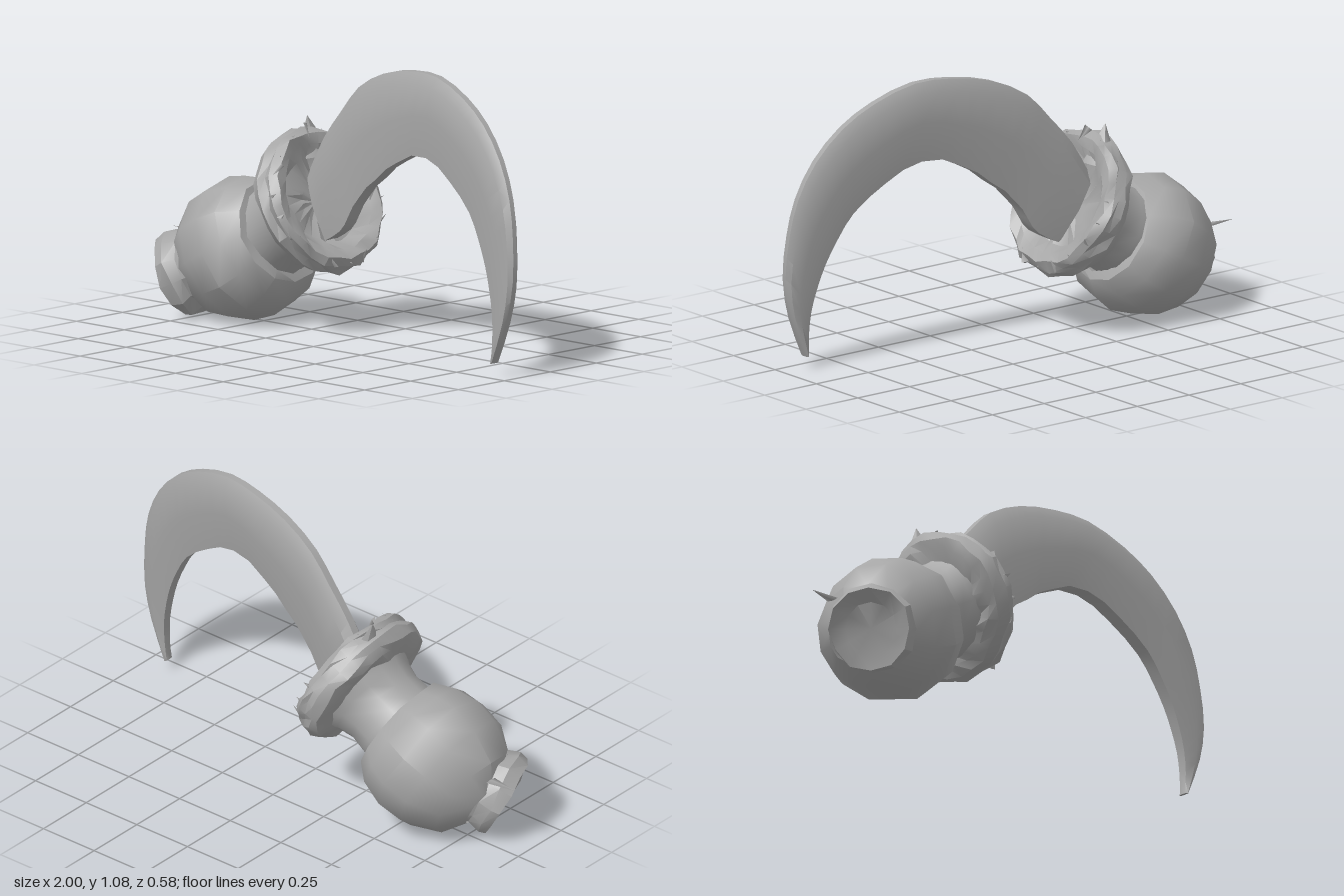
import * as THREE from 'three';
import { toCreasedNormals } from 'three/addons/utils/BufferGeometryUtils.js';

const V = (x, y, z) => new THREE.Vector3(x, y, z);

// Repeatable roughness, dependent on position so shared corners stay joined
function rough(x, y, z) {
  const s = Math.sin(x * 127.1 + y * 311.7 + z * 74.7) * 43.7;
  return s - Math.floor(s) - 0.5;
}

// Lathe turned along a direction, with slightly worn vertices
function turned(name, material, profile, sides, centre, dir, wear, crease) {
  const geo = new THREE.LatheGeometry(profile.map(([r, t]) => new THREE.Vector2(r, t)), sides);
  const p = geo.attributes.position;
  for (let i = 0; i < p.count; i++) {
    const x = p.getX(i), y = p.getY(i), z = p.getZ(i);
    const [a, b, c] = [x, y, z].map((v) => Math.round(v * 1000) / 1000 + 0);
    const k = 1 + wear * rough(a, b, c) / 0.3;
    p.setXYZ(i, x * k, y + wear * rough(c, a, b), z * k);
  }
  const mesh = new THREE.Mesh(toCreasedNormals(geo, crease), material);
  mesh.name = name;
  mesh.position.copy(centre);
  mesh.quaternion.setFromUnitVectors(V(0, 1, 0), dir.normalize());
  return mesh;
}

// Curved blade lofted between an outer and an inner edge
function bladeGeometry() {
  const outer = new THREE.CatmullRomCurve3([
    [-0.28, 0.62], [-0.2, 0.755], [-0.1, 0.87], [0, 0.975], [0.15, 1.05], [0.32, 1.085], [0.48, 1.087],
    [0.65, 1.03], [0.78, 0.95], [0.89, 0.83], [0.96, 0.69], [0.99, 0.55], [1, 0.38], [0.97, 0.23], [0.9, 0.06],
  ].map(([x, y]) => V(x, y, 0)));
  const inner = new THREE.CatmullRomCurve3([
    [-0.15, 0.37], [-0.06, 0.42], [-0.01, 0.48], [0.04, 0.56], [0.15, 0.65], [0.27, 0.725], [0.45, 0.78],
    [0.6, 0.71], [0.73, 0.61], [0.79, 0.52], [0.84, 0.42], [0.87, 0.33], [0.89, 0.24], [0.895, 0.15], [0.89, 0.06],
  ].map(([x, y]) => V(x, y, 0)));
  // Section: position from outer to inner edge, and share of half thickness
  const section = [[0, 0.3], [0.13, 0.85], [0.5, 1], [1, 0.6], [1, -0.6], [0.5, -1], [0.13, -0.85], [0, -0.3]];
  const n = section.length, steps = 28, pos = [], idx = [];
  for (let i = 0; i <= steps; i++) {
    const t = i / steps, a = outer.getPoint(t), b = inner.getPoint(t);
    const half = 0.052 - 0.03 * t * t;
    const nick = t > 0.1 && t < 0.5 ? 0.06 * rough(i, 2, 3) : 0;
    for (const [s, w] of section) {
      const q = a.clone().lerp(b, s === 1 ? 1 + nick : s);
      pos.push(q.x, q.y, 0.17 * q.x + 0.06 * (0.8 - q.y) + w * half);
    }
  }
  for (let i = 0; i < steps; i++) {
    for (let j = 0; j < n; j++) {
      const a = i * n + j, b = i * n + (j + 1) % n;
      idx.push(a, b, a + n, b, b + n, a + n);
    }
  }
  // End faces
  const last = steps * n;
  for (let j = 1; j < n - 1; j++) idx.push(0, j + 1, j, last, last + j, last + j + 1);
  const geo = new THREE.BufferGeometry();
  geo.setAttribute('position', new THREE.Float32BufferAttribute(pos, 3));
  geo.setIndex(idx);
  return toCreasedNormals(geo, 0.6);
}

export function createModel() {
  const model = new THREE.Group();
  model.name = 'hook';
  const grey = new THREE.MeshStandardMaterial({ color: 0xa6a6a6, side: THREE.DoubleSide });
  grey.name = 'worn grey';

  // Round grip, stepping in to the neck
  model.add(turned('grip', grey, [
    [0.1, -0.25], [0.2, -0.19], [0.262, -0.07], [0.278, 0.04], [0.255, 0.13], [0.205, 0.2], [0.17, 0.2],
  ], 12, V(-0.595, 0.275, 0.01), V(0.87, 0.45, -0.03), 0.015, 0.7));

  // Neck flaring into the back of the guard
  model.add(turned('neck', grey, [
    [0.18, 0.14], [0.172, 0.22], [0.17, 0.29], [0.185, 0.35], [0.21, 0.39],
  ], 14, V(-0.595, 0.28, 0), V(0.87, 0.5, -0.03), 0.012, 0.8));

  // Flared pommel, tilted forward
  model.add(turned('pommel', grey, [
    [0, -0.045], [0.1, -0.05], [0.16, -0.07], [0.172, -0.03], [0.155, 0.02], [0.165, 0.06], [0.14, 0.1],
  ], 12, V(-0.785, 0.185, 0.105), V(0.83, 0.42, -0.37), 0.02, 0.5));

  // Loose sliver on the pommel
  const sliver = new THREE.Mesh(new THREE.ConeGeometry(0.025, 0.12, 4), grey);
  sliver.name = 'pommelSliver';
  sliver.rotation.z = Math.PI / 2;
  sliver.scale.x = 0.15;
  sliver.position.set(-0.94, 0.31, -0.02);
  model.add(sliver);

  // Dished guard with a ragged rim
  model.add(turned('guard', grey, [
    [0.18, -0.085], [0.23, -0.08], [0.27, -0.065], [0.287, -0.03], [0.275, 0], [0.28, 0.025],
    [0.255, 0.05], [0.215, 0.035], [0.17, 0], [0.08, -0.02], [0, -0.025],
  ], 28, V(-0.21, 0.515, -0.01), V(0.9, 0.43, 0), 0.02, 0.5));

  // Chipped shards standing on the guard rim
  const shards = new THREE.Group();
  shards.name = 'guardShards';
  for (let i = 0; i < 18; i++) {
    const a = (i / 18) * Math.PI * 2, k = rough(i, 1, 5);
    const shard = new THREE.Mesh(new THREE.ConeGeometry(0.02, 0.05 + 0.03 * k, 3), grey);
    shard.position.set(Math.cos(a) * 0.26, 0.035 + 0.02 * k, Math.sin(a) * 0.26);
    shard.rotation.set(k * 2, a, k * 3);
    shard.scale.z = 0.4;
    shards.add(shard);
  }
  shards.position.set(-0.21, 0.515, -0.01);
  shards.quaternion.setFromUnitVectors(V(0, 1, 0), V(0.9, 0.43, 0).normalize());
  model.add(shards);

  // Peak at the top of the guard
  const peak = new THREE.Mesh(new THREE.ConeGeometry(0.06, 0.16, 5), grey);
  peak.name = 'guardPeak';
  peak.position.set(-0.325, 0.735, -0.07);
  peak.rotation.z = 0.2;
  peak.scale.z = 1.6;
  model.add(peak);

  const blade = new THREE.Mesh(bladeGeometry(), grey);
  blade.name = 'blade';
  model.add(blade);
  return model;
}
